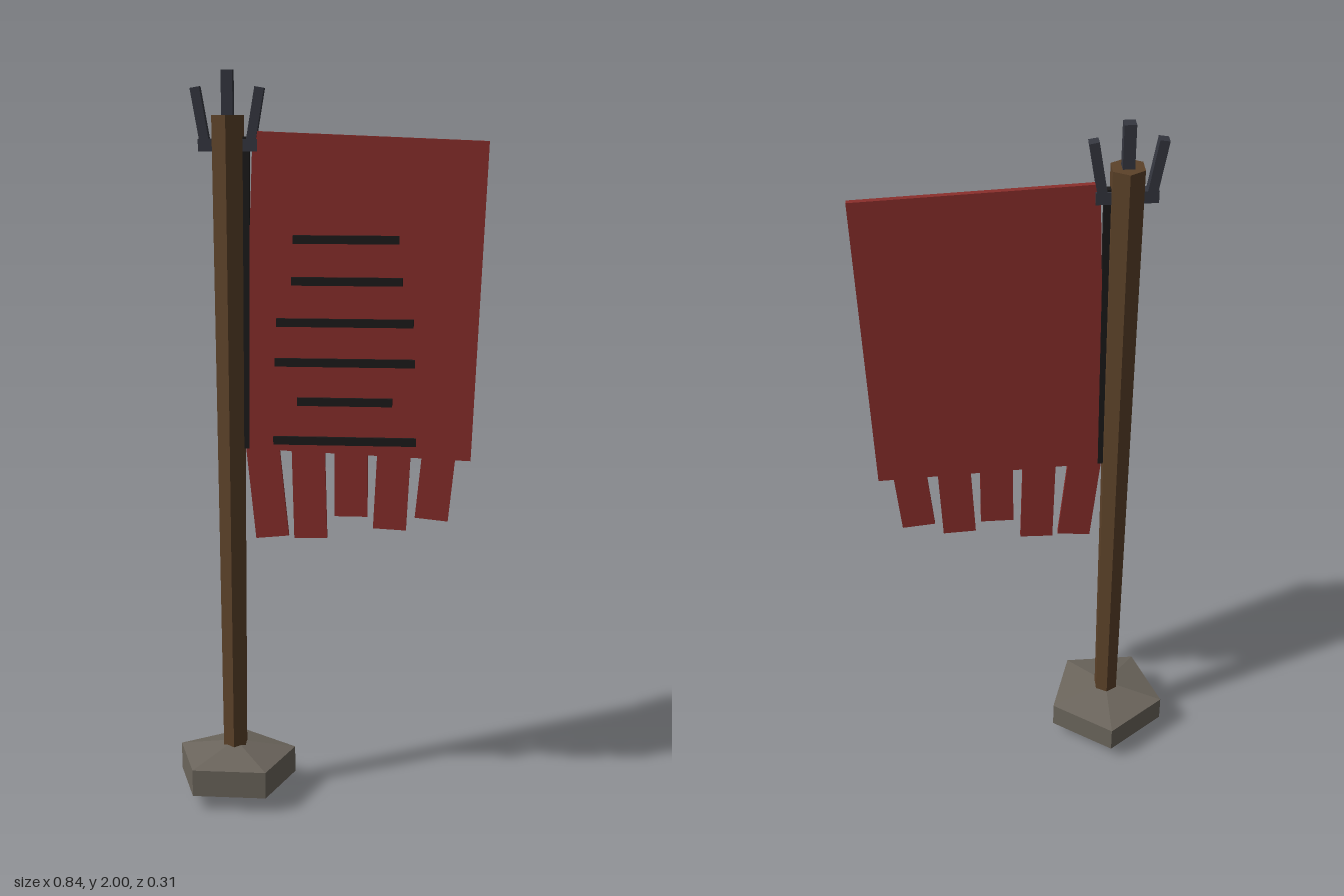
import * as THREE from 'three';

const PX = -0.26; // pole axis x
const Z = 0.015; // common depth of pole and cloth

const material = (color) => new THREE.MeshStandardMaterial({ color, flatShading: true });

export function createModel() {
  const model = new THREE.Group();
  const wood = material(0x5c4229);
  const stone = material(0x6b655c);
  const iron = material(0x353740);
  const red = material(0x8a2e2b);
  const black = material(0x1c1a1a);

  const add = (name, geometry, mat, x, y, z = Z, tilt = 0) => {
    const mesh = new THREE.Mesh(geometry, mat);
    mesh.name = name;
    mesh.position.set(x, y, z);
    mesh.rotation.z = tilt;
    model.add(mesh);
    return mesh;
  };
  const box = (name, w, h, d, mat, x, y, z, tilt) =>
    add(name, new THREE.BoxGeometry(w, h, d), mat, x, y, z, tilt);

  // Five-sided stone foot, pointed above and below
  const profile = [[0, 0], [0.172, 0.042], [0.172, 0.117], [0, 0.155]]
    .map(([r, y]) => new THREE.Vector2(r, y));
  add('stoneBase', new THREE.LatheGeometry(profile, 5, Math.PI), stone, PX, 0);

  // Six-sided pole, wider at the top
  add('pole', new THREE.CylinderGeometry(0.046, 0.035, 1.785, 6), wood, PX, 0.9925);

  // Iron finial: cross arm, middle spike and two splayed prongs
  box('finialArm', 0.155, 0.032, 0.028, iron, PX, 1.808);
  box('middleSpike', 0.03, 0.2, 0.03, iron, PX, 1.9);
  for (const side of [-1, 1]) {
    box('sideProng', 0.025, 0.16, 0.028, iron, PX + side * 0.071, 1.877, Z, -side * 0.17);
  }

  // Cloth, sagging slightly toward its free edge
  box('cloth', 0.615, 0.845, 0.014, red, 0.096, 1.41, Z, -0.04);
  box('clothBinding', 0.02, 0.83, 0.018, black, -0.217, 1.415, Z, -0.01);

  // Dark bars on the front: left end, right end, height
  const bars = [
    [-0.09, 0.19, 1.565], [-0.095, 0.2, 1.455], [-0.135, 0.23, 1.345],
    [-0.14, 0.235, 1.238], [-0.08, 0.175, 1.132], [-0.145, 0.24, 1.025],
  ];
  for (const [a, b, y] of bars) {
    box('clothBar', b - a, 0.022, 0.012, black, (a + b) / 2, y, 0.025);
  }

  // Torn strips along the hem: x and y of the lower end, tilt
  const strips = [
    [-0.15, 0.753, 0.1], [-0.045, 0.752, 0.025], [0.065, 0.815, 0],
    [0.17, 0.781, -0.05], [0.283, 0.811, -0.1],
  ];
  for (const [x, y, tilt] of strips) {
    const length = 1.03 - y;
    const strip = box('hemStrip', 0.09, length, 0.012, red, x, y, Z, tilt);
    strip.geometry.translate(0, length / 2, 0);
  }

  return model;
}
